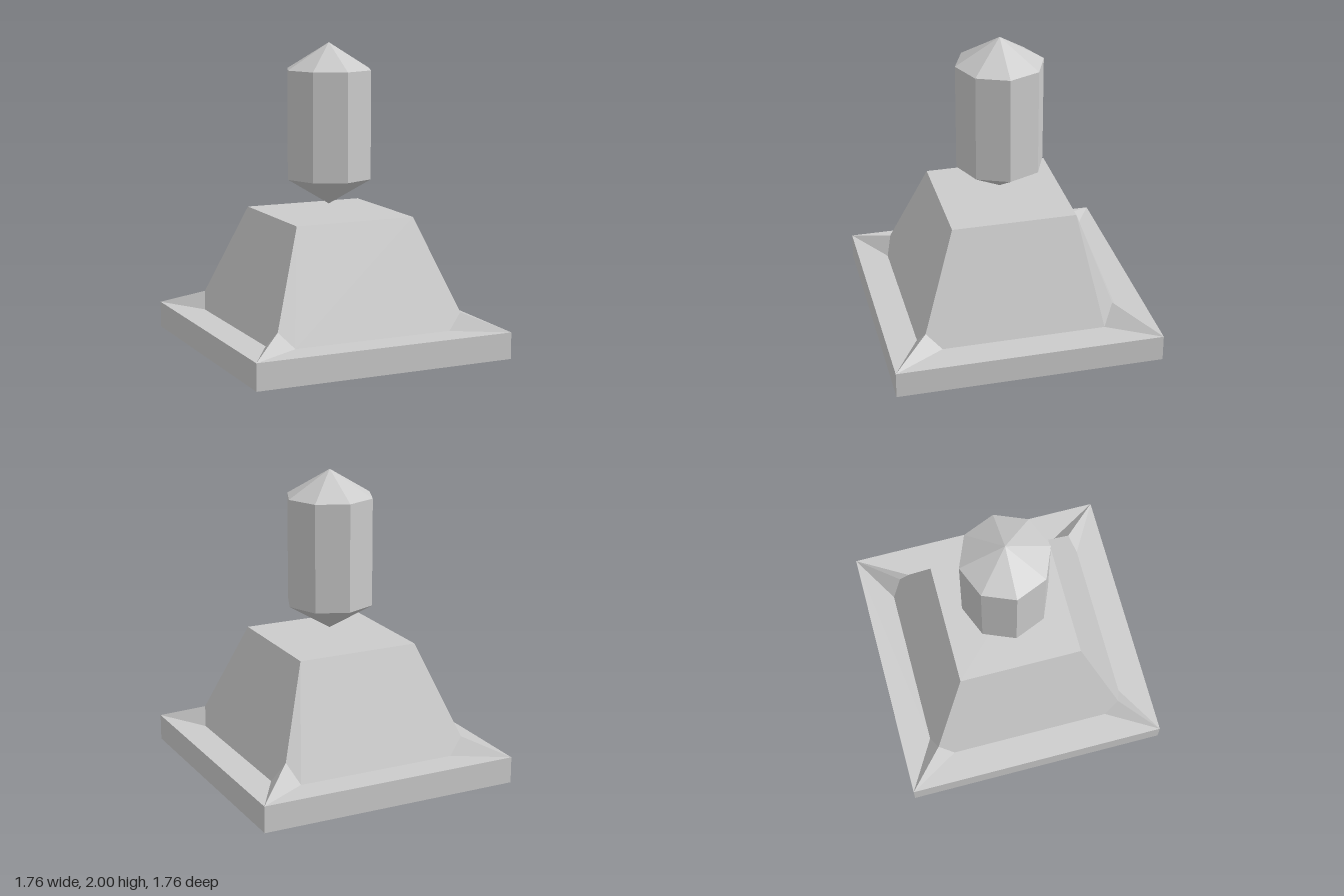
import * as THREE from 'three';

const material = new THREE.MeshStandardMaterial({ color: 0xcccccc, flatShading: true });

// Builds a flat-shaded mesh from convex polygons, corners counter-clockwise from outside.
function polygonMesh(name, polygons) {
  const positions = [];
  for (const p of polygons) {
    for (let i = 1; i < p.length - 1; i++) positions.push(...p[0], ...p[i], ...p[i + 1]);
  }
  const geometry = new THREE.BufferGeometry();
  geometry.setAttribute('position', new THREE.Float32BufferAttribute(positions, 3));
  geometry.computeVertexNormals();
  const mesh = new THREE.Mesh(geometry, material);
  mesh.name = name;
  return mesh;
}

// Quarter turns about the vertical axis: the front side becomes side k.
function turn([x, y, z], k) {
  for (let i = 0; i < k; i++) [x, z] = [z, -x];
  return [x, y, z];
}

export function createModel() {
  const group = new THREE.Group();
  const R = 0.88, H = 0.175;           // slab half width and height
  const T = 0.41, topY = 0.885;        // pedestal top
  const foot = 0.68, inset = 0.54;     // pedestal foot, where the corner fins start
  const hole = 0.07;                   // pit under the slab

  // Ridge point of the fin at the right-hand corner of each side: [radius, height]
  const ridges = [[0.64, 0.28], [0.61, 0.31], [0.64, 0.28], [0.64, 0.28]];

  const slab = [], pedestal = [], fins = [];
  for (let k = 0; k < 4; k++) {
    const add = (list, ...corners) => list.push(corners.map((c) => turn(c, k)));
    const [a, ay] = ridges[k], [b, by] = ridges[(k + 3) % 4];
    const ridgeR = [a, ay, a], ridgeL = [-b, by, b];
    const footR = [inset, H, foot], footL = [-inset, H, foot];
    const topR = [T, topY, T], topL = [-T, topY, T];
    const rimR = [R, H, R], rimL = [-R, H, R];
    const baseR = [R, 0, R], baseL = [-R, 0, R];
    const pitR = [hole, 0, hole], pitL = [-hole, 0, hole];

    // Slab: wall, ledge, underside and pit
    add(slab, baseL, baseR, rimR, rimL);
    add(slab, rimL, rimR, footR, footL);
    add(slab, baseR, baseL, pitL, pitR);
    add(slab, pitR, pitL, [0, 0.06, 0]);

    // Pedestal: sloping side with its two corner triangles, and a quarter of the top
    add(pedestal, footL, footR, topR, topL);
    add(pedestal, footR, ridgeR, topR);
    add(pedestal, footL, topL, ridgeL);
    add(pedestal, topL, topR, [0, topY, 0]);

    // Fins running out to the slab corners
    add(fins, footR, rimR, ridgeR);
    add(fins, rimL, footL, ridgeL);
  }
  group.add(polygonMesh('baseSlab', slab));
  group.add(polygonMesh('pedestal', pedestal));
  group.add(polygonMesh('cornerFins', fins));

  // Floating eight-sided crystal, pointed at both ends
  const profile = [[0, 0.94], [0.29, 1.115], [0.29, 1.825], [0, 2]]
    .map(([r, y]) => new THREE.Vector2(r, y));
  const crystal = new THREE.Mesh(new THREE.LatheGeometry(profile, 8), material);
  crystal.name = 'crystal';
  group.add(crystal);

  return group;
}
